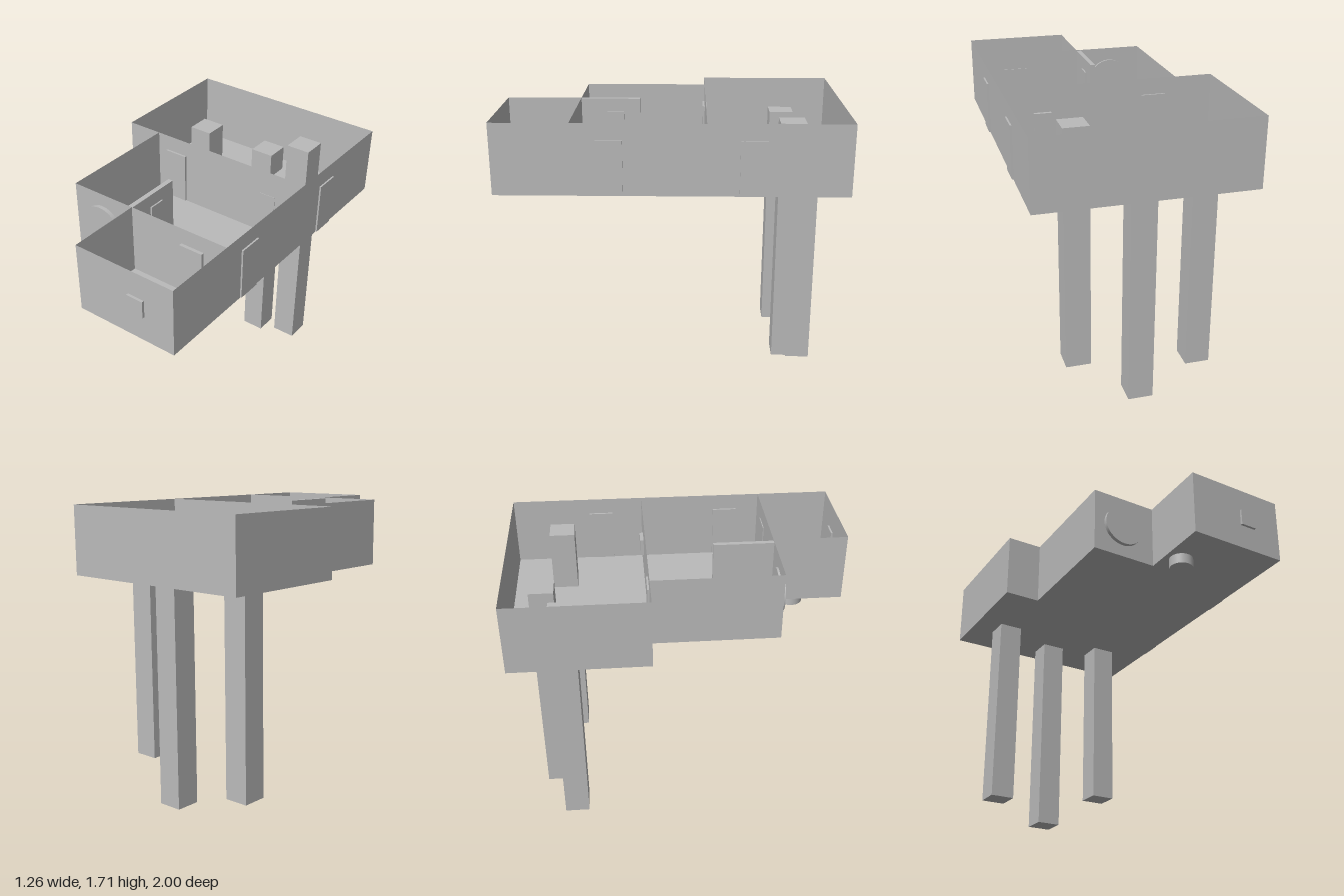
import * as THREE from 'three';

const FLOOR = 1.3, TOP = 1.71, DOOR_TOP = 1.615;

export function createModel() {
  const model = new THREE.Group();
  model.name = 'houseOnStilts';
  const grey = new THREE.MeshStandardMaterial({ color: 0xbababa, side: THREE.DoubleSide });
  grey.name = 'plain grey';

  const add = (name, geometry, x = 0, y = 0, z = 0) => {
    const mesh = new THREE.Mesh(geometry, grey);
    mesh.name = name;
    mesh.position.set(x, y, z);
    model.add(mesh);
    return mesh;
  };

  // box given by its extents on each axis
  const box = (name, [x0, x1], [y0, y1], [z0, z1]) =>
    add(name, new THREE.BoxGeometry(x1 - x0, y1 - y0, z1 - z0),
      (x0 + x1) / 2, (y0 + y1) / 2, (z0 + z1) / 2);

  // thin upright wall between two plan points
  const wall = (name, [x0, z0], [x1, z1]) => {
    const length = Math.hypot(x1 - x0, z1 - z0);
    const mesh = add(name, new THREE.PlaneGeometry(length, TOP - FLOOR),
      (x0 + x1) / 2, (TOP + FLOOR) / 2, (z0 + z1) / 2);
    mesh.rotation.y = -Math.atan2(z1 - z0, x1 - x0);
  };

  // stepped plan, counter-clockwise as [x, z]
  const plan = [
    [-0.635, -1], [-0.635, -0.2], [-0.415, -0.2], [-0.415, 0.545],
    [-0.005, 0.545], [-0.005, 0.985], [0.62, 0.985], [0.62, -1],
  ];

  // floor and outer walls
  const outline = new THREE.Shape(plan.map(([x, z]) => new THREE.Vector2(x, -z)));
  add('floor', new THREE.ShapeGeometry(outline).rotateX(-Math.PI / 2), 0, FLOOR, 0);
  plan.forEach((p, i) => wall('outerWall', p, plan[(i + 1) % plan.length]));

  // walls between the rooms
  wall('backRoomWall', [-0.415, -0.2], [0.62, -0.2]);
  wall('frontRoomWall', [-0.005, 0.545], [0.62, 0.545]);
  box('partition', [-0.034, -0.005], [FLOOR, 1.705], [0.19, 0.545]);
  box('partitionPanel', [-0.02, 0.004], [1.53, 1.63], [0.29, 0.39]);

  // doors
  const doorY = [FLOOR + 0.005, DOOR_TOP];
  for (const z of [-0.457, 0.333]) box('sideDoor', [0.607, 0.63], doorY, [z - 0.074, z + 0.074]);
  box('backRoomDoor', [-0.352, -0.206], doorY, [-0.211, -0.187]);
  box('frontRoomDoor', [0.33, 0.476], doorY, [0.54, 0.565]);

  // square windows
  box('frontWindow', [0.333, 0.435], [1.457, 1.56], [0.974, 1]);
  box('backRoomWindow', [0.333, 0.435], [1.457, 1.56], [-0.221, -0.197]);

  // round window
  add('roundWindow', new THREE.CylinderGeometry(0.128, 0.128, 0.036, 48).rotateX(Math.PI / 2),
    -0.22, 1.505, 0.551);

  // round hatch through the floor, with a small knob
  add('floorHatch', new THREE.CylinderGeometry(0.073, 0.073, 0.07, 40), 0.1, 1.271, 0.69);
  box('hatchKnob', [0.09, 0.112], [1.3, 1.32], [0.688, 0.712]);

  // stilts of one length, set at different heights: x, z, foot
  const stilts = [[-0.41, -0.692, 0.09], [-0.013, -0.823, 0], [0.325, -0.692, 0.197]];
  for (const [x, z, foot] of stilts) {
    box('stilt', [x - 0.074, x + 0.074], [foot, foot + 1.46], [z - 0.074, z + 0.074]);
  }

  return model;
}
